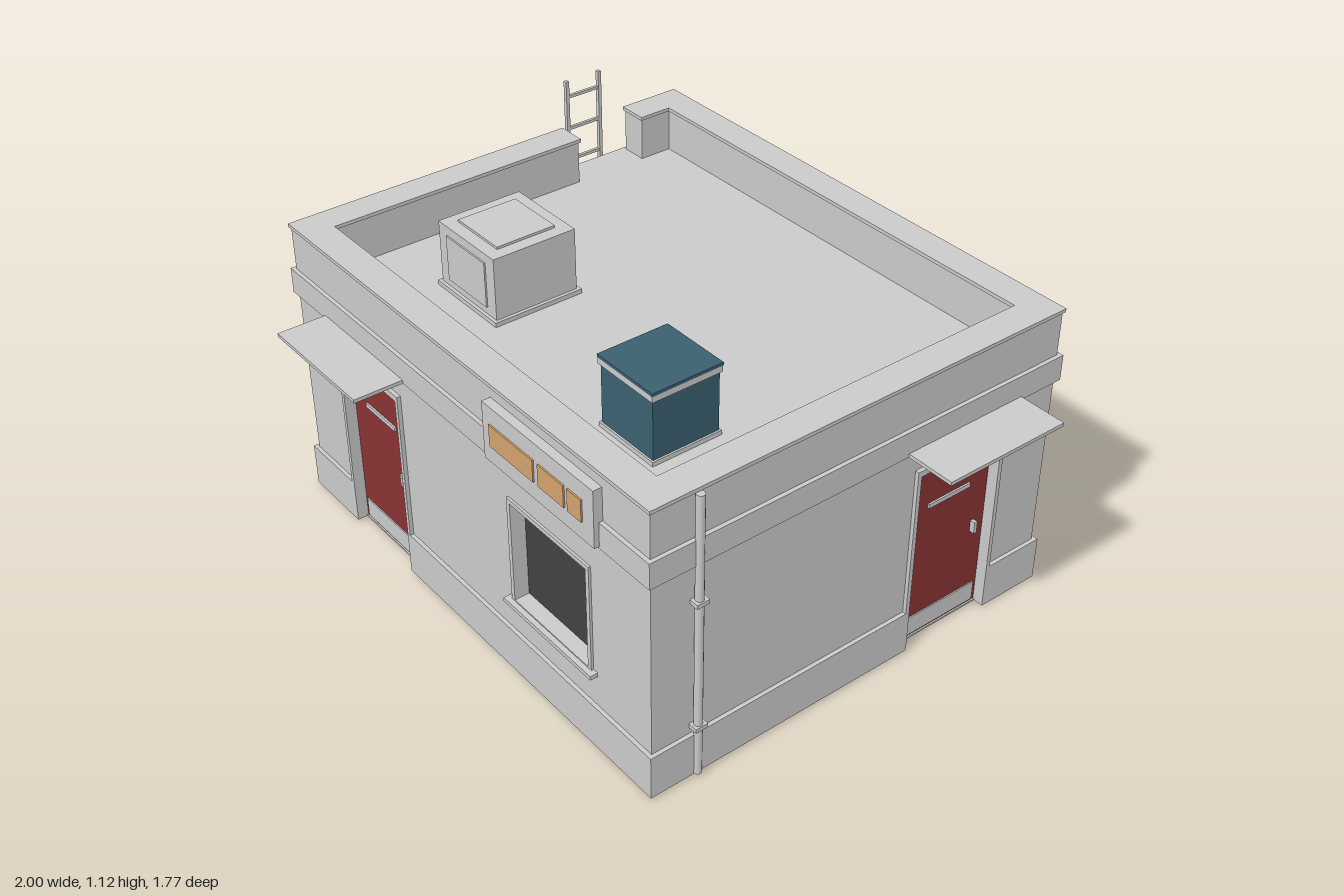
import * as THREE from 'three';

const mat = (name, color) => {
  const m = new THREE.MeshStandardMaterial({ color });
  m.name = name;
  return m;
};

export function createModel() {
  const grey = mat('light grey', 0xcacaca);
  const red = mat('door red', 0x8a3333);
  const dark = mat('dark glass', 0x424242);
  const teal = mat('tank teal', 0x3b6070);
  const orange = mat('sign orange', 0xd2a26e);

  const model = new THREE.Group();
  model.name = 'building';

  const add = (parent, name, geo, m) => {
    const mesh = new THREE.Mesh(geo, m);
    mesh.name = name;
    parent.add(mesh);
    return mesh;
  };
  // Box given by its min and max on each axis
  const box = (parent, name, m, x0, x1, y0, y1, z0, z1) => {
    const mesh = add(parent, name, new THREE.BoxGeometry(x1 - x0, y1 - y0, z1 - z0), m);
    mesh.position.set((x0 + x1) / 2, (y0 + y1) / 2, (z0 + z1) / 2);
    return mesh;
  };
  const group = (parent, name, x = 0, y = 0, z = 0, turn = 0) => {
    const g = new THREE.Group();
    g.name = name;
    g.position.set(x, y, z);
    g.rotation.y = turn;
    parent.add(g);
    return g;
  };
  const rect = (path, x0, x1, y0, y1) =>
    path.moveTo(x0, y0).lineTo(x1, y0).lineTo(x1, y1).lineTo(x0, y1).closePath();

  const BASE = 0.007, PLINTH = 0.155, ROOF = 0.83, T = 0.09, OUT = 0.013;
  const DOOR = 0.16, DOOR_TOP = 0.65;

  // Door with frame, kick plate, slot, handle, lamp and canopy
  function door(wall, x) {
    const g = group(wall, 'door', x);
    const frame = new THREE.Shape();
    [[-0.174, BASE], [-DOOR, BASE], [-DOOR, DOOR_TOP], [DOOR, DOOR_TOP], [DOOR, BASE],
      [0.174, BASE], [0.174, 0.67], [-0.174, 0.67]].forEach(([px, py], i) =>
      i ? frame.lineTo(px, py) : frame.moveTo(px, py));
    const geo = new THREE.ExtrudeGeometry(frame, { depth: 0.055, bevelEnabled: false });
    add(g, 'doorFrame', geo.translate(0, 0, -0.042), grey);
    box(g, 'doorPanel', red, -DOOR, DOOR, 0.012, DOOR_TOP, -0.045, -0.025);
    box(g, 'threshold', grey, -DOOR, DOOR, BASE, 0.013, -T, -0.02);
    box(g, 'kickPlate', grey, -0.147, 0.147, 0.02, 0.087, -0.026, -0.021);
    box(g, 'doorSlot', grey, -0.083, 0.083, 0.48, 0.495, -0.026, -0.019);
    box(g, 'doorHandle', grey, 0.108, 0.12, 0.3, 0.34, -0.026, -0.008);
    box(g, 'doorLamp', grey, -0.095, 0.095, 0.695, 0.715, -0.01, 0.02);
    box(g, 'canopy', grey, -0.22, 0.22, 0.745, 0.757, 0, 0.175);
  }

  // Recessed window of half width w with a thin frame and a sill
  function windowUnit(wall, x, w) {
    const g = group(wall, 'window', x);
    const frame = new THREE.Shape();
    rect(frame, -w - 0.015, w + 0.015, 0.272, 0.64);
    const hole = new THREE.Path();
    rect(hole, -w, w, 0.28, 0.625);
    frame.holes.push(hole);
    const geo = new THREE.ExtrudeGeometry(frame, { depth: 0.058, bevelEnabled: false });
    add(g, 'windowFrame', geo.translate(0, 0, -0.05), grey);
    box(g, 'windowGlass', dark, -w, w, 0.28, 0.625, -0.05, -0.041);
    box(g, 'windowSill', grey, -w - 0.033, w + 0.033, 0.262, 0.276, -0.045, 0.025);
  }

  // Wall seen from outside: x along it, z outward, with openings and a plinth
  function wall(name, len, x, z, turn, doors, windows) {
    const g = group(model, name, x, 0, z, turn);
    const h = len / 2, s = new THREE.Shape();
    s.moveTo(-h, BASE);
    doors.forEach(d => s.lineTo(d - DOOR, BASE).lineTo(d - DOOR, DOOR_TOP)
      .lineTo(d + DOOR, DOOR_TOP).lineTo(d + DOOR, BASE));
    s.lineTo(h, BASE).lineTo(h, 0.75).lineTo(-h, 0.75).closePath();
    windows.forEach(([wx, w]) => {
      const hole = new THREE.Path();
      rect(hole, wx - w, wx + w, 0.28, 0.625);
      s.holes.push(hole);
    });
    const geo = new THREE.ExtrudeGeometry(s, { depth: T, bevelEnabled: false });
    add(g, 'wallPanel', geo.translate(0, 0, -T), grey);
    const cuts = [-h - OUT, ...doors.flatMap(d => [d - 0.174, d + 0.174]), h + OUT];
    for (let i = 0; i < cuts.length; i += 2)
      box(g, 'plinth', grey, cuts[i], cuts[i + 1], BASE, PLINTH, -0.04, OUT);
    doors.forEach(d => door(g, d));
    windows.forEach(([wx, w]) => windowUnit(g, wx, w));
    return g;
  }

  const X0 = -0.94, X1 = 0.825, Z0 = -0.76, Z1 = 0.71;
  const CX = (X0 + X1) / 2, CZ = (Z0 + Z1) / 2, W = X1 - X0, D = Z1 - Z0;
  const front = wall('frontWall', W, CX, Z1, 0, [-0.48], [[0.437, 0.175]]);
  const side = wall('leftWall', D, X1, CZ, Math.PI / 2, [0.365], []);
  const back = wall('backWall', W, CX, Z0, Math.PI, [], [[0.35, 0.175]]);
  const ladderSide = wall('rightWall', D, X0, CZ, -Math.PI / 2, [], [[0.055, 0.145]]);

  // Floor plate and roof slab, whose edge forms the band
  box(model, 'floorPlate', dark, -0.86, 0.75, 0, 0.01, -0.685, 0.635);
  box(model, 'roofSlab', grey, X0 - OUT, X1 + OUT, 0.745, ROOF, Z0 - OUT, Z1 + OUT);

  // Parapet with a gap for the ladder, and thin caps
  const parapets = [
    [X0, X1, Z1 - T, Z1], [X0, X1, Z0, Z0 + T], [X1 - T, X1, Z0 + T, Z1 - T],
    [X0, X0 + T, -0.295, Z1 - T], [X0, X0 + T, Z0 + T, -0.555],
  ];
  for (const [x0, x1, z0, z1] of parapets) {
    box(model, 'parapet', grey, x0, x1, ROOF, 0.975, z0, z1);
    box(model, 'parapetCap', grey, x0 - 0.006, x1 + 0.006, 0.975, 0.987, z0 - 0.006, z1 + 0.006);
  }

  // Sign box with lit panels
  const sign = group(front, 'sign', 0.437);
  box(sign, 'signBox', grey, -0.25, 0.25, 0.752, 0.938, -0.01, 0.029);
  for (const [a, b] of [[-0.215, -0.012], [0.01, 0.125], [0.141, 0.202]])
    box(sign, 'signPanel', orange, a, b, 0.81, 0.882, 0.028, 0.034);

  // Drainpipes with brackets
  function drainpipe(parent, x, top) {
    const g = group(parent, 'drainpipe', x, 0, 0.014);
    const geo = new THREE.CylinderGeometry(0.013, 0.013, top - 0.01, 12);
    add(g, 'pipe', geo, grey).position.y = top / 2 + 0.005;
    for (const y of [0.185, 0.625])
      box(g, 'pipeBracket', grey, -0.021, 0.021, y - 0.007, y + 0.007, -0.016, 0.017);
  }
  drainpipe(side, -0.587, 0.975);
  drainpipe(back, -0.7, 0.83);

  // Wall-mounted cooling unit
  const cooler = group(back, 'coolingUnit', -0.35);
  box(cooler, 'coolerBody', grey, -0.117, 0.117, 0.477, 0.645, -0.01, 0.12);
  box(cooler, 'coolerPanel', grey, -0.07, 0.07, 0.495, 0.628, 0.12, 0.125);

  // Ladder with rungs and wall brackets
  const ladder = group(ladderSide, 'ladder', -0.395);
  for (const s of [-1, 1]) {
    box(ladder, 'ladderRail', grey, s * 0.065 - 0.006, s * 0.065 + 0.006, 0.01, 1.12, 0.046, 0.06);
    for (const y of [0.36, 0.42, 0.74])
      box(ladder, 'ladderBracket', grey, s * 0.065 - 0.005, s * 0.065 + 0.005, y - 0.005, y + 0.005, 0, 0.05);
  }
  for (let i = 0; i < 9; i++) {
    const y = 1.063 - i * 0.115;
    box(ladder, 'ladderRung', grey, -0.065, 0.065, y - 0.005, y + 0.005, 0.048, 0.058);
  }

  // Roof tank
  const tank = group(model, 'roofTank', 0.412, 0, 0.355);
  const layer = (g, name, m, r, y0, y1) => box(g, name, m, -r, r, y0, y1, -r, r);
  layer(tank, 'tankBase', grey, 0.118, ROOF, 0.845);
  layer(tank, 'tankBody', teal, 0.112, 0.845, 1.035);
  layer(tank, 'tankBand', grey, 0.118, 1.035, 1.055);
  layer(tank, 'tankLid', teal, 0.119, 1.055, 1.065);

  // Roof vent unit
  const vent = group(model, 'roofVent', -0.44, 0, 0.263);
  layer(vent, 'ventBase', grey, 0.155, ROOF, 0.845);
  layer(vent, 'ventBody', grey, 0.144, 0.845, 1.05);
  layer(vent, 'ventLid', grey, 0.102, 1.05, 1.058);
  box(vent, 'ventPanel', grey, -0.1, 0.1, 0.87, 1.02, 0.144, 0.149);

  return model;
}
